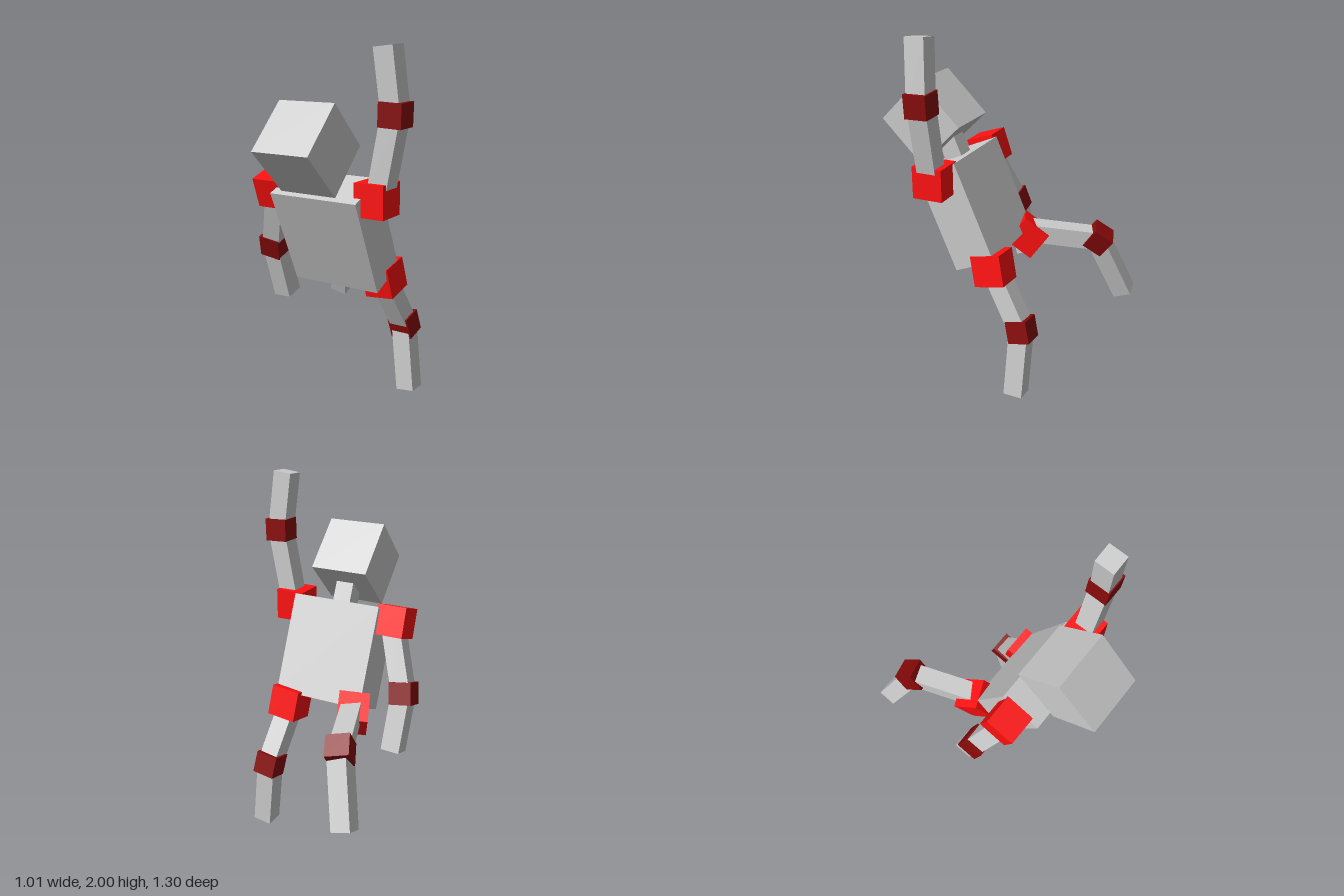
import * as THREE from 'three';

const grey = new THREE.MeshStandardMaterial({ color: 0xcccccc, flatShading: true });
const red = new THREE.MeshStandardMaterial({ color: 0xff1010, flatShading: true });
const darkRed = new THREE.MeshStandardMaterial({ color: 0x880a0a, flatShading: true });

function box(parent, name, material, size, position, rotation = [0, 0, 0]) {
  const mesh = new THREE.Mesh(new THREE.BoxGeometry(...size), material);
  mesh.name = name;
  mesh.position.set(...position);
  mesh.rotation.set(...rotation, 'YXZ');
  parent.add(mesh);
  return mesh;
}

// Turns a mesh so its y axis follows a direction while its x axis stays sideways
function aim(mesh, direction) {
  const y = direction.clone().normalize();
  const x = new THREE.Vector3(1, 0, 0).addScaledVector(y, -y.x).normalize();
  const z = new THREE.Vector3().crossVectors(x, y);
  mesh.quaternion.setFromRotationMatrix(new THREE.Matrix4().makeBasis(x, y, z));
}

// Two straight segments meeting in a block that follows the bend
function limb(parent, names, start, bend, end) {
  const points = [start, bend, end].map((p) => new THREE.Vector3(...p));
  const directions = [];
  for (let i = 0; i < 2; i++) {
    const along = points[i + 1].clone().sub(points[i]);
    const middle = points[i].clone().addScaledVector(along, 0.5);
    const segment = box(parent, names[i], grey, [0.108, along.length(), 0.108], middle.toArray());
    aim(segment, along);
    directions.push(along.normalize());
  }
  const joint = box(parent, names[2], darkRed, [0.13, 0.125, 0.125], bend);
  aim(joint, directions[0].add(directions[1]));
}

export function createModel() {
  const model = new THREE.Group();
  model.name = 'blockFigure';

  // Body leaning forward, with the head bowed further
  const lean = 0.405;
  box(model, 'torso', grey, [0.53, 0.571, 0.246], [0.025, 1.0125, 0.165], [lean, 0, 0]);
  box(model, 'neck', grey, [0.106, 0.16, 0.106], [0.025, 1.33, 0.302], [lean, 0, 0]);
  box(model, 'head', grey, [0.335, 0.33, 0.33], [0.023, 1.488, 0.418], [Math.PI / 4, 0, 0]);

  // Left arm raised
  box(model, 'leftShoulder', red, [0.17, 0.175, 0.17], [0.335, 1.238, 0.257]);
  limb(model, ['leftUpperArm', 'leftForearm', 'leftElbow'],
    [0.358, 1.26, 0.26], [0.437, 1.667, 0.26], [0.4, 1.993, 0.275]);

  // Right arm hanging
  box(model, 'rightShoulder', red, [0.17, 0.17, 0.17], [-0.31, 1.228, 0.24], [0.32, 0, 0]);
  limb(model, ['rightUpperArm', 'rightForearm', 'rightElbow'],
    [-0.3, 1.2, 0.24], [-0.427, 0.863, 0.118], [-0.415, 0.545, 0.028]);

  // Left leg standing
  box(model, 'leftHip', red, [0.17, 0.175, 0.175], [0.22, 0.73, -0.027], [0.21, 0, 0.1]);
  limb(model, ['leftThigh', 'leftShin', 'leftKnee'],
    [0.212, 0.72, -0.03], [0.254, 0.4, -0.212], [0.299, 0.01, -0.2]);

  // Right leg lifted behind
  box(model, 'rightHip', red, [0.17, 0.175, 0.175], [-0.2, 0.762, -0.055], [-0.66, 0.35, 0.1]);
  limb(model, ['rightThigh', 'rightShin', 'rightKnee'],
    [-0.197, 0.79, -0.06], [-0.328, 0.755, -0.452], [-0.432, 0.39, -0.597]);

  return model;
}
